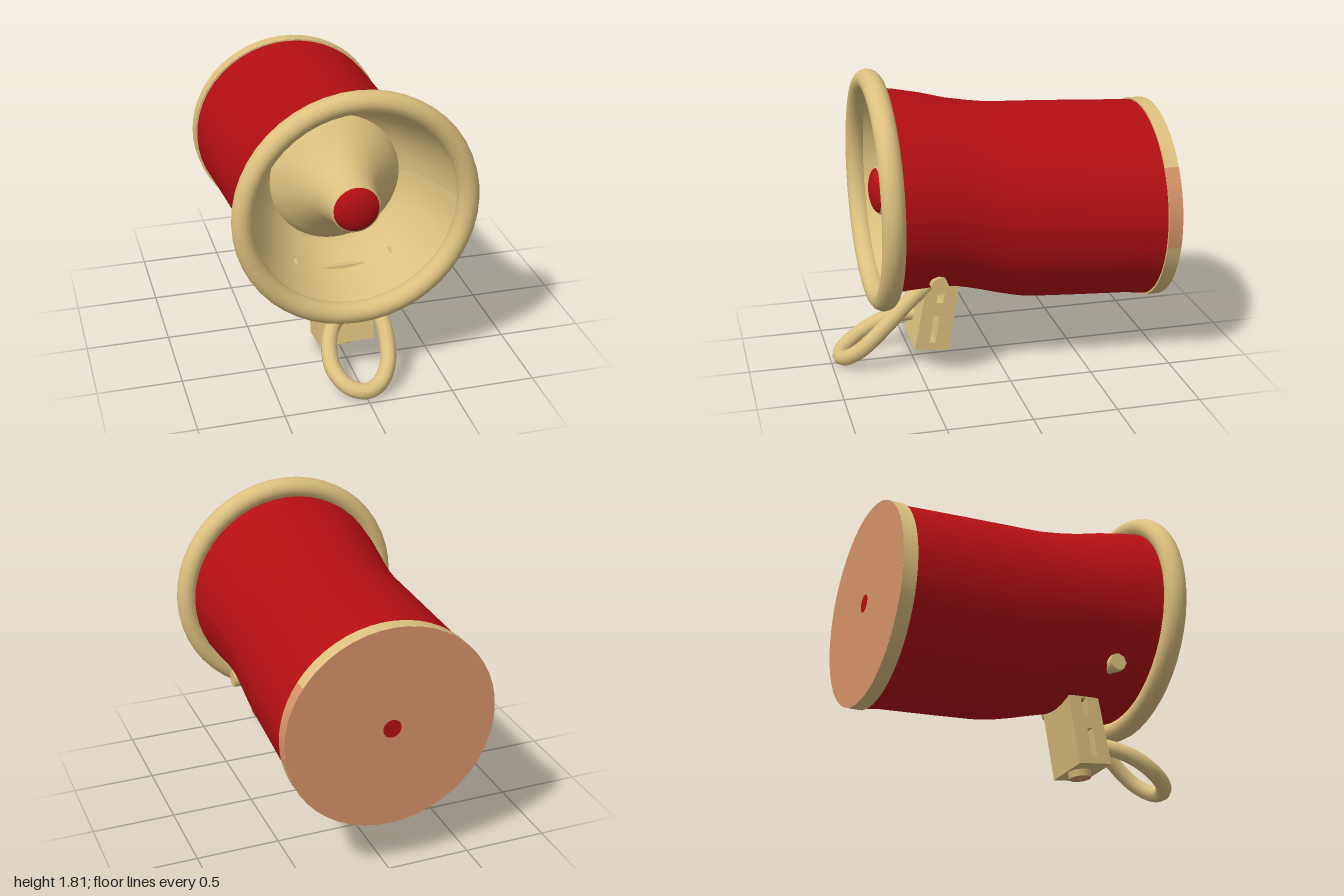
import * as THREE from 'three';

const red = new THREE.MeshStandardMaterial({ color: 0xb50f13 });
red.name = 'red paint';
const brass = new THREE.MeshStandardMaterial({ color: 0xdcc07f });
brass.name = 'brass';
const copper = new THREE.MeshStandardMaterial({ color: 0xd8946a });
copper.name = 'copper';

// Skin over ellipses [z, centreY, radiusX, radiusY]; faces outward when listed front to back
function loft(rings, from = 0, to = Math.PI * 2, segs = 48) {
  const pos = [], idx = [], row = segs + 1;
  rings.forEach(([z, cy, rx, ry], i) => {
    for (let j = 0; j <= segs; j++) {
      const t = from + ((to - from) * j) / segs;
      pos.push(rx * Math.cos(t), cy + ry * Math.sin(t), z);
      if (i < rings.length - 1 && j < segs) {
        const a = i * row + j, c = a + row;
        idx.push(a, c, a + 1, a + 1, c, c + 1);
      }
    }
  });
  const g = new THREE.BufferGeometry();
  g.setAttribute('position', new THREE.Float32BufferAttribute(pos, 3));
  g.setIndex(idx);
  g.computeVertexNormals();
  return g;
}

export function createModel() {
  const model = new THREE.Group();
  const add = (name, geo, mat, x = 0, y = 0, z = 0) => {
    const m = new THREE.Mesh(geo, mat);
    m.name = name;
    m.position.set(x, y, z);
    model.add(m);
    return m;
  };

  // Waisted shell: [z, bottom, top, half width]
  const shell = [
    [0.68, 0.49, 1.71, 0.62], [0.55, 0.495, 1.69, 0.61], [0.4, 0.5, 1.66, 0.59],
    [0.25, 0.49, 1.62, 0.575], [0.12, 0.455, 1.597, 0.57], [0, 0.42, 1.58, 0.573],
    [-0.12, 0.39, 1.574, 0.58], [-0.22, 0.377, 1.57, 0.585], [-0.5, 0.36, 1.555, 0.597],
    [-0.8, 0.345, 1.537, 0.612], [-0.94, 0.325, 1.53, 0.615],
  ].map(([z, b, t, w]) => [z, (b + t) / 2, w, (t - b) / 2]);
  add('body', loft(shell), red);

  // Front rim
  const rim = add('frontRim', new THREE.TorusGeometry(0.655, 0.063, 16, 48), brass, 0, 1.102, 0.708);
  rim.scale.z = 1.08;

  // Inner bell and the flared plug inside it, ending in a red tip
  add('innerBell', loft([
    [0.2, 1.09, 0.36, 0.36], [0.24, 1.09, 0.43, 0.43], [0.36, 1.095, 0.495, 0.495],
    [0.52, 1.1, 0.55, 0.55], [0.7, 1.1, 0.61, 0.61],
  ]), brass);
  add('plugCone', loft([
    [0.69, 1.1, 0.13, 0.13], [0.685, 1.1, 0.145, 0.145], [0.64, 1.1, 0.145, 0.145],
    [0.5, 1.098, 0.18, 0.18], [0.38, 1.094, 0.25, 0.25], [0.28, 1.09, 0.35, 0.35],
    [0.24, 1.09, 0.39, 0.39], [0.2, 1.09, 0.39, 0.39],
  ]), brass);
  const tip = add('plugTip', new THREE.SphereGeometry(0.135, 24, 8, 0, Math.PI * 2, 0, Math.PI / 2), red, 0, 1.1, 0.685);
  tip.rotation.x = Math.PI / 2;
  tip.scale.y = 0.4;

  // Rear band with a copper section on its left side
  const band = [[-0.915, 0.93, 0.63, 0.611], [-1, 0.93, 0.63, 0.611]];
  add('rearBand', loft(band, 0.6, Math.PI * 2 - 0.2), brass);
  add('rearBandInset', loft(band, -0.2, 0.6, 8), copper);
  const lip = add('rearBandLip', new THREE.RingGeometry(0.95, 1, 48), brass, 0, 0.93, -0.915);
  lip.scale.set(0.63, 0.611, 1);

  // Rear plate and its centre dot
  const plate = add('rearPlate', new THREE.CircleGeometry(1, 48), copper, 0, 0.93, -1);
  plate.scale.set(0.63, 0.611, 1);
  plate.rotation.y = Math.PI;
  const dot = add('rearDot', new THREE.CircleGeometry(0.055, 20), red, 0, 0.93, -1.003);
  dot.rotation.y = Math.PI;

  // Side bolts
  for (const s of [-1, 1]) {
    const shank = add('boltShank', new THREE.CylinderGeometry(0.035, 0.035, 0.16, 10), brass, s * 0.36, 0.645, 0.415);
    const head = add('boltHead', new THREE.CylinderGeometry(0.053, 0.053, 0.05, 8), brass, s * 0.44, 0.645, 0.415);
    shank.rotation.z = head.rotation.z = Math.PI / 2;
  }

  // Slanted handle block with two slots cut through sideways (profile in z, y)
  const poly = (pts, Type) => new Type(pts.map(([u, v]) => new THREE.Vector2(u, v)));
  const block = poly([[0.513, 0.123], [0.305, 0.097], [0.225, 0.58], [0.42, 0.6]].reverse(), THREE.Shape);
  block.holes.push(
    poly([[0.375, 0.415], [0.335, 0.41], [0.318, 0.51], [0.355, 0.515]], THREE.Path),
    poly([[0.42, 0.16], [0.385, 0.155], [0.358, 0.325], [0.395, 0.33]], THREE.Path),
  );
  const blockMesh = add('handleBlock',
    new THREE.ExtrudeGeometry(block, { depth: 0.34, bevelEnabled: false }), brass, 0.17);
  blockMesh.rotation.y = -Math.PI / 2;

  // Foot stud under the block
  const stud = add('footStud', new THREE.CylinderGeometry(0.072, 0.066, 0.05, 20),
    [brass, brass, copper], 0, 0.092, 0.39);
  stud.rotation.x = -0.12;

  // Looped guard from the body round to the block
  const path = new THREE.CatmullRomCurve3([
    [0.13, 0.53, 0.42], [0.155, 0.42, 0.56], [0.18, 0.29, 0.7], [0.155, 0.15, 0.84],
    [0.08, 0.075, 0.92], [0, 0.055, 0.945], [-0.09, 0.07, 0.91], [-0.155, 0.125, 0.8],
    [-0.15, 0.2, 0.66], [-0.09, 0.255, 0.52], [0, 0.28, 0.41],
  ].map((p) => new THREE.Vector3(...p)));
  add('guardLoop', new THREE.TubeGeometry(path, 60, 0.048, 10), brass);

  return model;
}
